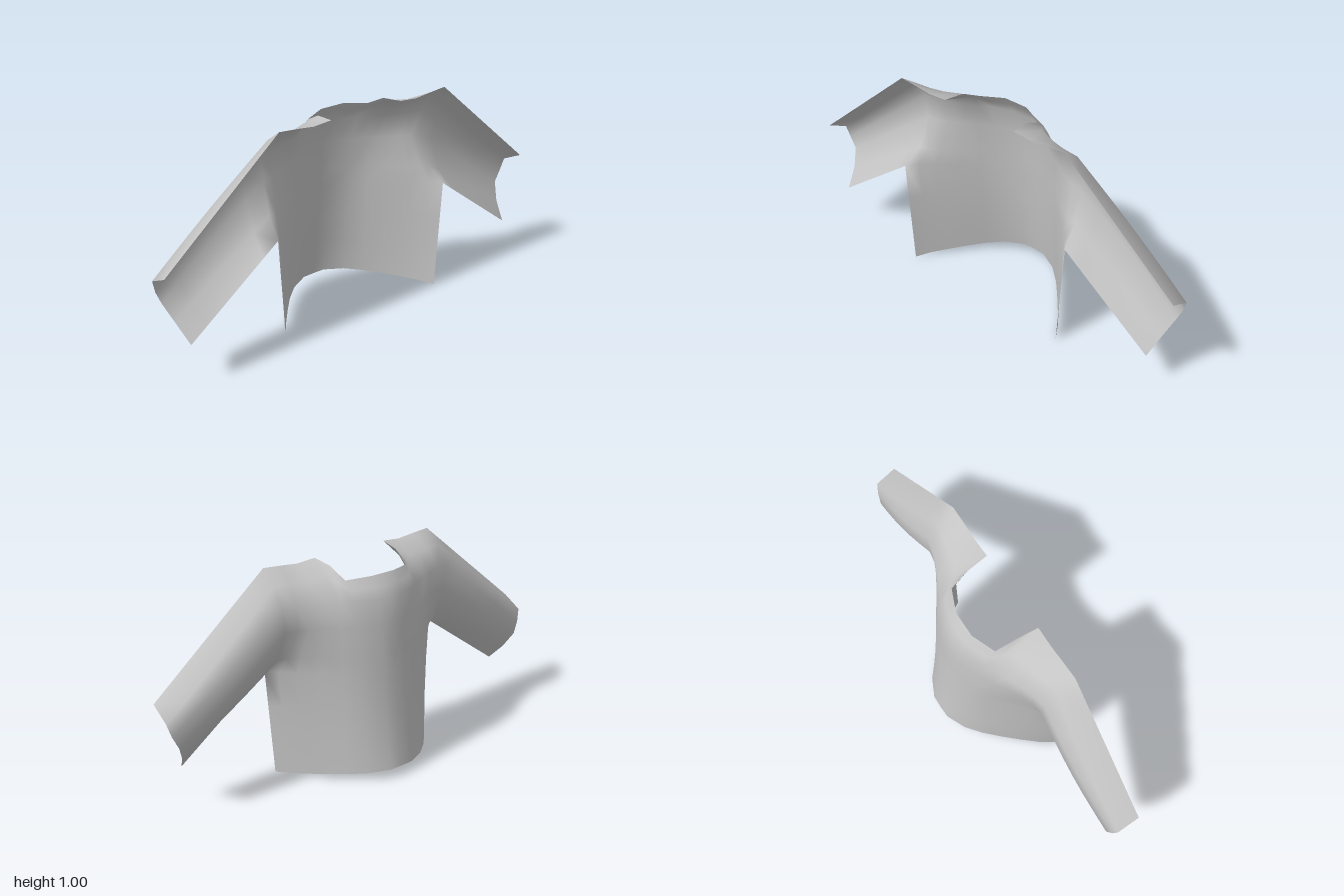
import * as THREE from 'three';

const lerpPoints = (p, q, t) => p.map((v, k) => THREE.MathUtils.lerp(v, q[k], t));
const level = (y, section) => section.map(([x, z]) => [x, y, z]);

// Half cross-sections from the spine out to the side seam
const topEdge = [[0, .94, -.045], [.06, .94, -.045], [.165, .93, 0], [.18, .975, .09], [.19, .985, .19], [.28, .978, .19], [.36, .987, .19], [.45, .995, .19]];
const yoke = level(.85, [[0, -.103], [.06, -.1], [.16, -.065], [.21, -.03], [.27, -.005], [.33, .02], [.39, .042], [.45, .055]]);
const chest = level(.74, [[0, -.12], [.06, -.118], [.155, -.085], [.22, -.047], [.28, -.01], [.34, .025], [.385, .045], [.44, .055]]);
const underarm = level(.6, [[0, -.128], [.06, -.127], [.155, -.095], [.22, -.055], [.29, .005], [.36, .065], [.41, .095], [.45, .105]]);
const armpit = level(.525, [[0, -.135], [.06, -.134], [.15, -.103], [.22, -.052], [.29, .01], [.37, .08], [.43, .14], [.47, .19]]);
// The hem slopes down from the back to the front
const hem = [[0, -.19], [.06, -.188], [.15, -.145], [.22, -.085], [.28, -.02], [.34, .05], [.4, .125], [.44, .19]]
  .map(([x, z]) => [x, .132 * (.19 - z), z]);

// Rounds the shoulder: the midpoint is pushed up and back by the depth it spans
function shoulderRoll(upper, lower) {
  const depth = upper[2] - lower[2];
  const [x, y, z] = lerpPoints(upper, lower, .5);
  return [x, y + .7 * depth ** 2, z - .9 * depth ** 2];
}

// Sleeve opening, from its top to its bottom corner
const cuff = [[1, .53, .19], [1, .48, .09], [.985, .42, .08], [.96, .36, .075], [.93, .28, .12], [.905, .2, .19]];

export function createModel() {
  const group = new THREE.Group();
  const cloth = new THREE.MeshStandardMaterial({ color: 0xc4c4c4, side: THREE.DoubleSide });
  cloth.name = 'grey cloth';

  // Body columns run from the top edge down to the hem, sagging slightly inward
  const body = topEdge.map((top, i) => [
    top, shoulderRoll(top, yoke[i]), yoke[i], chest[i], underarm[i], armpit[i],
    ...[1 / 3, 2 / 3].map(t => {
      const [x, y, z] = lerpPoints(armpit[i], hem[i], t);
      return [x, y, Math.min(.19, z + .004)];
    }),
    hem[i],
  ]);

  // Sleeve columns blend from the armhole to the cuff, fuller halfway along
  const armhole = body[body.length - 1];
  const steps = 6;
  const sleeve = Array.from({ length: steps + 1 }, (_, i) =>
    cuff.map((c, j) => {
      const [x, y, z] = lerpPoints(armhole[j], c, i / steps);
      return [x, y, z - .1 * (.19 - z) * Math.sin(Math.PI * i / steps)];
    }));

  // Shared, welded vertices keep the shading smooth across the seams
  const positions = [], lookup = new Map();
  const vertex = (p, side) => {
    const q = [p[0] * side, p[1], p[2]];
    const key = q.map(v => Math.round(v * 1e5)).join();
    if (!lookup.has(key)) {
      lookup.set(key, positions.length / 3);
      positions.push(...q);
    }
    return lookup.get(key);
  };
  const panel = (columns, side) => {
    const index = [];
    for (let i = 0; i < columns.length - 1; i++) {
      for (let j = 0; j < columns[i].length - 1; j++) {
        const a = vertex(columns[i][j], side), b = vertex(columns[i + 1][j], side);
        const c = vertex(columns[i + 1][j + 1], side), d = vertex(columns[i][j + 1], side);
        index.push(...(side > 0 ? [a, b, d, b, c, d] : [a, d, b, b, d, c]));
      }
    }
    return index;
  };
  const parts = {
    backPanel: [...panel(body, 1), ...panel(body, -1)],
    leftSleeve: panel(sleeve, 1),
    rightSleeve: panel(sleeve, -1),
  };

  // Normals over the whole garment
  const whole = new THREE.BufferGeometry();
  whole.setAttribute('position', new THREE.Float32BufferAttribute(positions, 3));
  whole.setIndex(Object.values(parts).flat());
  whole.computeVertexNormals();

  for (const [name, index] of Object.entries(parts)) {
    const geometry = new THREE.BufferGeometry();
    geometry.setAttribute('position', whole.getAttribute('position'));
    geometry.setAttribute('normal', whole.getAttribute('normal'));
    geometry.setIndex(index);
    const mesh = new THREE.Mesh(geometry, cloth);
    mesh.name = name;
    group.add(mesh);
  }
  return group;
}
